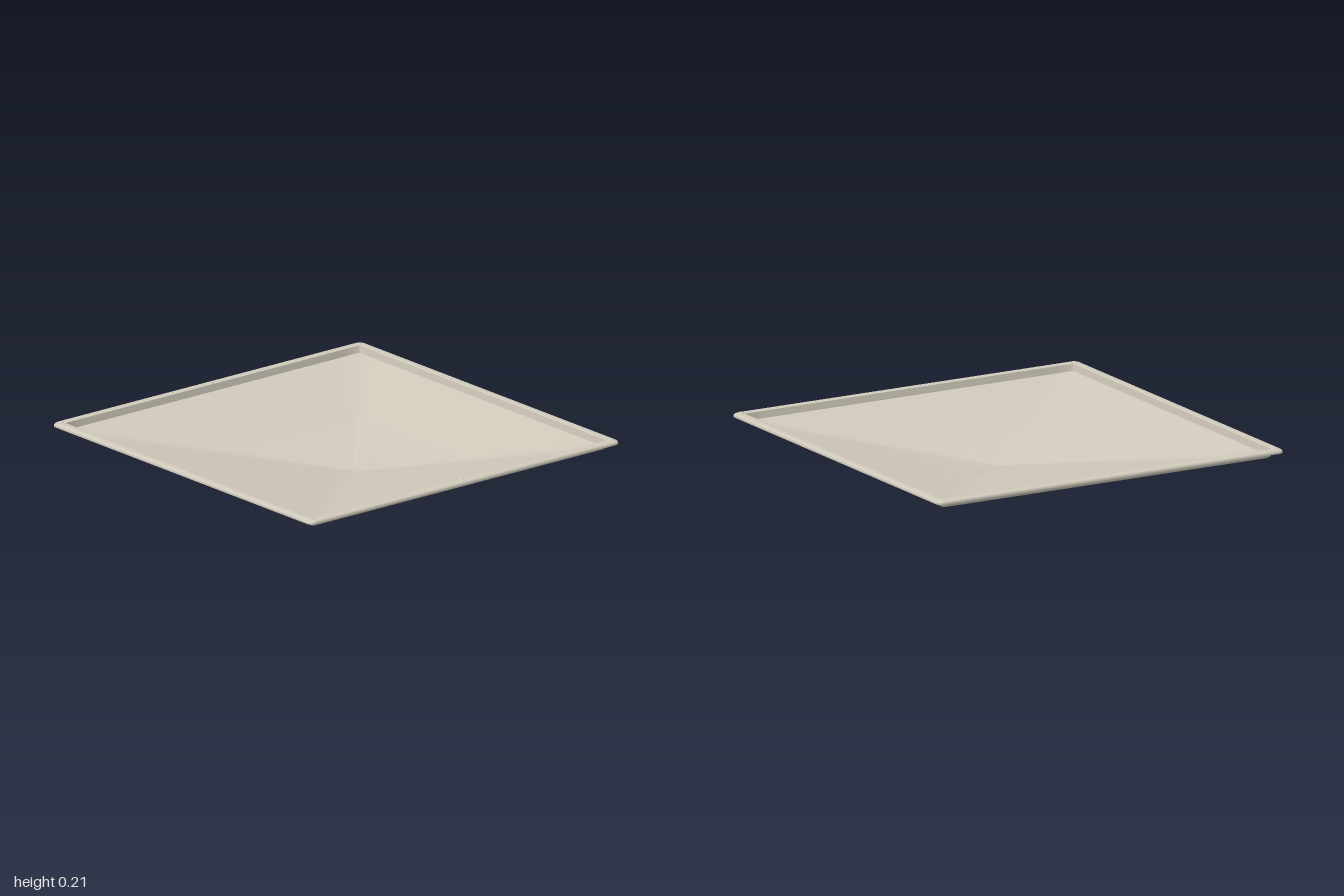
import * as THREE from 'three';
import { toCreasedNormals } from 'three/addons/utils/BufferGeometryUtils.js';

const HALF_X = 1, HALF_Z = 0.988;      // outer half sizes of the lip
const APEX_X = 0.09, APEX_Z = -0.035;  // off-centre low point

// Rounded rectangle, inset from the lip edge, with extra points beside each corner
function ring(inset, radius, y) {
  const pts = [], hx = HALF_X - inset, hz = HALF_Z - inset, side = 0.1, steps = 4;
  for (let q = 0; q < 4; q++) {
    const sx = q === 0 || q === 3 ? 1 : -1, sz = q < 2 ? 1 : -1;
    const cx = sx * (hx - radius), cz = sz * (hz - radius);
    const arc = [];
    for (let i = 0; i <= steps; i++) {
      const a = (q + i / steps) * Math.PI / 2;
      arc.push(new THREE.Vector3(cx + radius * Math.cos(a), y, cz + radius * Math.sin(a)));
    }
    const before = arc[0].clone(), after = arc[steps].clone();
    if (q % 2 === 0) { before.z -= sz * side; after.x -= sx * side; }
    else { before.x -= sx * side; after.z -= sz * side; }
    pts.push(before, ...arc, after);
  }
  return pts;
}

// Shrinks a ring towards the apex; t = 1 is the base, t = 0 the apex
function towardsApex(base, t, apexY) {
  const apex = new THREE.Vector3(APEX_X, apexY, APEX_Z);
  return base.map(p => apex.clone().lerp(p, t));
}

function loft(rings, crease) {
  const pos = [];
  const tri = (a, b, c) => {
    const area = b.clone().sub(a).cross(c.clone().sub(a)).length();
    if (area > 1e-9) for (const p of [a, b, c]) pos.push(p.x, p.y, p.z);
  };
  for (let k = 0; k < rings.length - 1; k++) {
    const a = rings[k], b = rings[k + 1], n = a.length;
    for (let i = 0; i < n; i++) {
      const j = (i + 1) % n;
      tri(a[i], b[i], b[j]);
      tri(a[i], b[j], a[j]);
    }
  }
  const g = new THREE.BufferGeometry();
  g.setAttribute('position', new THREE.Float32BufferAttribute(pos, 3));
  return toCreasedNormals(g, crease);
}

export function createModel() {
  const group = new THREE.Group();
  const material = new THREE.MeshStandardMaterial({ color: 0xd0cabb });
  material.name = 'warm grey';

  const add = (name, geometry) => {
    const mesh = new THREE.Mesh(geometry, material);
    mesh.name = name;
    group.add(mesh);
    return mesh;
  };

  // Outer shell: shallow pyramid, rounded lower edge, short wall
  const outerBase = ring(0.068, 0.012, 0.152);
  const shell = [0, 0.02, 0.5, 0.96, 1].map(t => towardsApex(outerBase, t, t === 0 ? 0.001 : 0));
  const fillet = 5, r = 0.023;
  for (let i = 1; i <= fillet; i++) {
    const a = (0.1 + 0.9 * i / fillet) * Math.PI / 2;
    shell.push(ring(0.045 + r - r * Math.sin(a), 0.012, 0.153 + r * (1 - Math.cos(a))));
  }
  shell.push(ring(0.045, 0.012, 0.192));
  add('outerShell', loft(shell, 0.6));

  // Lip with a turned-down edge and rounded top
  add('rimLip', loft([
    ring(0.045, 0.012, 0.192),
    ring(0.010, 0.022, 0.192),
    ring(0.010, 0.022, 0.184),
    ring(0.001, 0.029, 0.184),
    ring(0, 0.03, 0.192),
    ring(0.003, 0.03, 0.198),
    ring(0.009, 0.028, 0.202),
    ring(0.018, 0.024, 0.204),
    ring(0.044, 0.006, 0.204),
    ring(0.050, 0.004, 0.202),
  ], 0.6));

  // Inside of the tray: upright wall and sloping floor
  add('innerWall', loft([ring(0.050, 0.004, 0.202), ring(0.054, 0.004, 0.166)], 0.6));
  const innerBase = ring(0.054, 0.004, 0.166);
  add('innerFloor', loft(
    [1, 0.96, 0.5, 0.02, 0].map(t => towardsApex(innerBase, t, 0.012)), 0.6));

  // Small bumps on the rim at the corners and mid sides
  const bump = new THREE.SphereGeometry(0.014, 12, 6, 0, Math.PI * 2, 0, Math.PI / 2);
  for (const x of [-1, 0, 1]) for (const z of [-1, 0, 1]) {
    if (x === 0 && z === 0) continue;
    const mesh = add('rimBump', bump);
    mesh.position.set(x * 0.965, 0.2035, z * 0.953);
    mesh.scale.y = 0.4;
  }
  return group;
}
